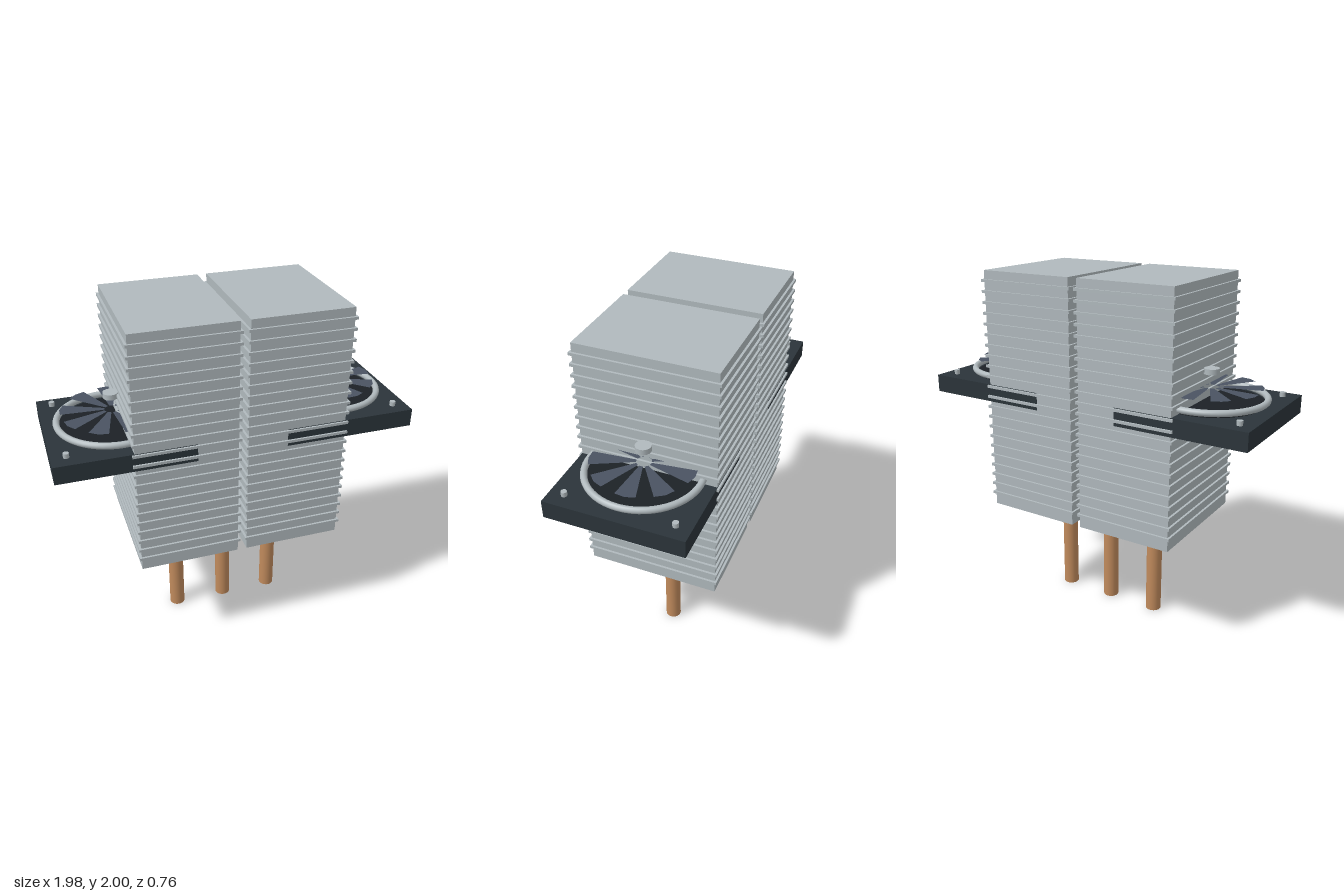
import * as THREE from 'three';

const mat = (name, color, side = THREE.FrontSide) => {
  const m = new THREE.MeshStandardMaterial({ color, side });
  m.name = name;
  return m;
};

export function createModel() {
  const metal = mat('brushed aluminium', 0xb0b9bd);
  const copper = mat('copper', 0xc08a5c);
  const frameDark = mat('fan frame charcoal', 0x2b343a);
  const recessDark = mat('fan recess black', 0x1c2126);
  const slate = mat('blade slate', 0x4a5362, THREE.DoubleSide);

  const root = new THREE.Group();
  root.name = 'twinTowerCooler';

  const add = (parent, name, geometry, material, x = 0, y = 0, z = 0) => {
    const mesh = new THREE.Mesh(geometry, material);
    mesh.name = name;
    mesh.position.set(x, y, z);
    parent.add(mesh);
    return mesh;
  };

  // Fin stack: solid core with thin projecting plates
  const coreGeo = new THREE.BoxGeometry(0.555, 1.38, 0.74);
  const finGeo = new THREE.BoxGeometry(0.58, 0.015, 0.764);
  const makeTower = (side) => {
    const tower = new THREE.Group();
    tower.name = side > 0 ? 'leftTower' : 'rightTower';
    add(tower, 'towerCore', coreGeo, metal, 0, 1.31, 0);
    for (let i = 0; i < 22; i++) add(tower, 'coolingFin', finGeo, metal, 0, 0.695 + i * 0.0595, 0);
    tower.position.x = side * 0.304;
    root.add(tower);
  };

  // Flat wedge blade, gently swept, lying in the horizontal plane
  const bladeShape = new THREE.Shape();
  const polar = (r, a) => [r * Math.cos(a), r * Math.sin(a)];
  bladeShape.moveTo(...polar(0.04, -0.2));
  bladeShape.lineTo(...polar(0.272, -0.1));
  bladeShape.lineTo(...polar(0.278, 0.1));
  bladeShape.lineTo(...polar(0.272, 0.29));
  bladeShape.lineTo(...polar(0.04, 0.3));
  bladeShape.closePath();
  const bladeGeo = new THREE.ShapeGeometry(bladeShape).rotateX(-Math.PI / 2);

  const frameGeo = new THREE.BoxGeometry(0.74, 0.1, 0.742);
  const recessGeo = new THREE.CylinderGeometry(0.29, 0.29, 0.006, 40);
  const ringGeo = new THREE.TorusGeometry(0.299, 0.018, 12, 56).rotateX(Math.PI / 2);
  const hubGeo = new THREE.CylinderGeometry(0.042, 0.042, 0.03, 16);
  const screwGeo = new THREE.CylinderGeometry(0.016, 0.016, 0.03, 12);

  // Horizontal fan pushed into the side of each tower
  const makeFan = (side) => {
    const fan = new THREE.Group();
    fan.name = side > 0 ? 'leftFan' : 'rightFan';
    add(fan, 'fanFrame', frameGeo, frameDark, 0, 1.31, 0);
    add(fan, 'fanRecess', recessGeo, recessDark, 0, 1.362, 0);
    add(fan, 'guardRing', ringGeo, metal, 0, 1.386, 0);
    add(fan, 'fanHub', hubGeo, metal, 0, 1.525, 0);
    for (let i = 0; i < 9; i++) {
      add(fan, 'fanBlade', bladeGeo, slate, 0, 1.44, 0).rotation.y = (i * Math.PI * 2) / 9;
    }
    for (const sx of [-1, 1]) {
      for (const sz of [-1, 1]) add(fan, 'cornerScrew', screwGeo, metal, sx * 0.29, 1.37, sz * 0.29);
    }
    fan.position.x = side * 0.62;
    root.add(fan);
  };

  for (const side of [-1, 1]) {
    makeTower(side);
    makeFan(side);
  }

  // Heat pipes: one under each tower and one in the gap
  const pipeGeo = new THREE.CylinderGeometry(0.045, 0.045, 1.085, 24);
  for (const x of [-0.304, 0, 0.304]) add(root, 'heatPipe', pipeGeo, copper, x, 0.5425, 0);

  return root;
}
